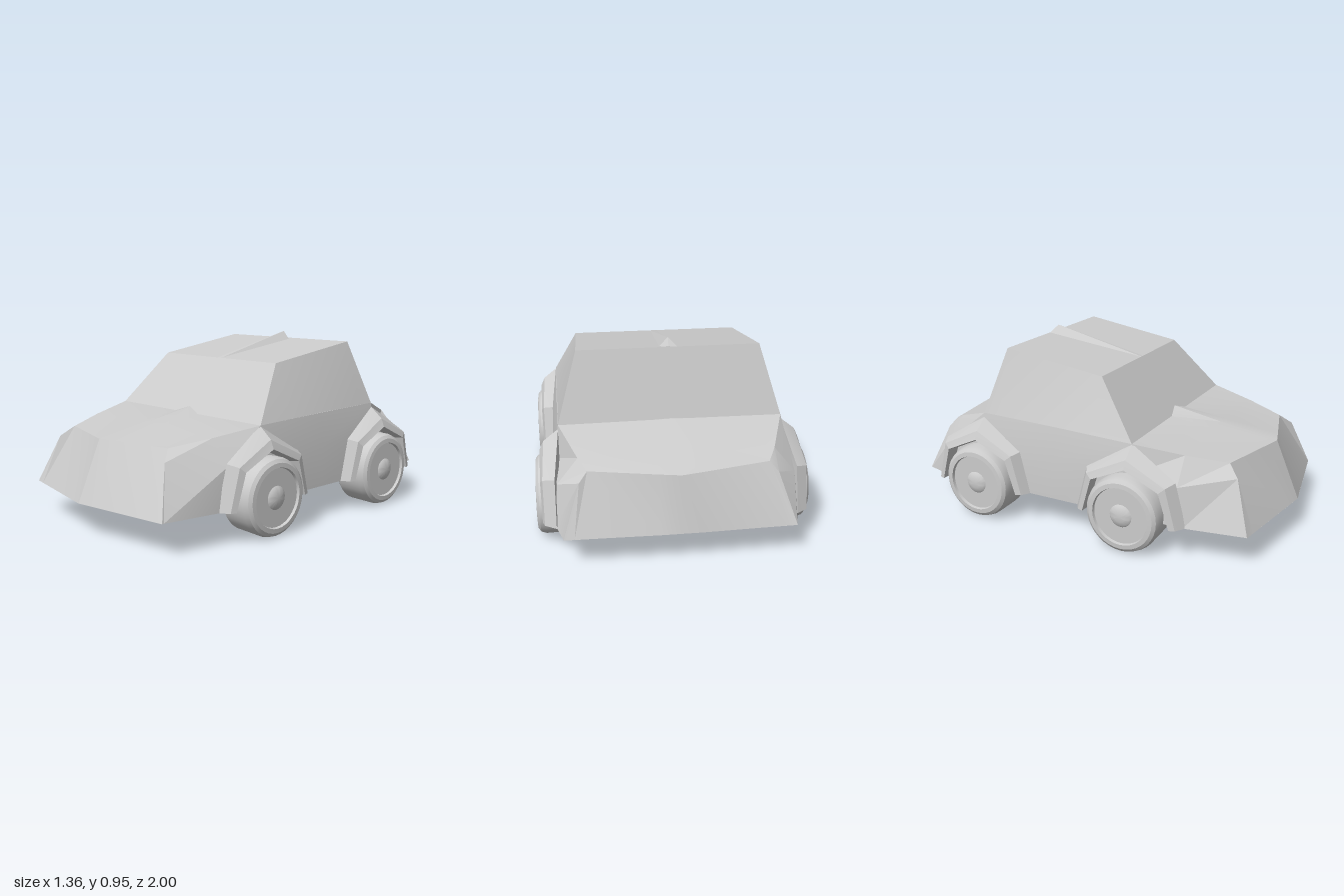
import * as THREE from 'three';
import { toCreasedNormals } from 'three/addons/utils/BufferGeometryUtils.js';

const material = new THREE.MeshStandardMaterial({ color: 0xcccccc, side: THREE.DoubleSide });

function addMesh(parent, name, geometry, crease = 0.4) {
  const mesh = new THREE.Mesh(toCreasedNormals(geometry, crease), material);
  mesh.name = name;
  parent.add(mesh);
  return mesh;
}

// Skin a list of closed cross-sections, each an equal-length ring of [x, y, z]
function loft(rows, capped = false) {
  const position = [];
  const tri = (...pts) => {
    const [a, b, c] = pts.map((p) => new THREE.Vector3(...p));
    if (b.clone().sub(a).cross(c.clone().sub(a)).length() > 1e-6) position.push(...pts.flat());
  };
  const n = rows[0].length;
  for (let i = 0; i < rows.length - 1; i++) {
    for (let j = 0; j < n; j++) {
      const k = (j + 1) % n;
      const a = rows[i][j], b = rows[i + 1][j], c = rows[i + 1][k], d = rows[i][k];
      tri(a, b, c);
      tri(a, c, d);
    }
  }
  if (capped) {
    const first = rows[0], last = rows[rows.length - 1];
    for (let j = 1; j < n - 1; j++) {
      tri(first[0], first[j], first[j + 1]);
      tri(last[0], last[j + 1], last[j]);
    }
  }
  const geometry = new THREE.BufferGeometry();
  geometry.setAttribute('position', new THREE.Float32BufferAttribute(position, 3));
  return geometry;
}

// Complete a half-section that starts and ends on the centre line
const mirrored = (half) => [
  ...half,
  ...half.slice(1, -1).reverse().map(([x, y, z]) => [-x, y, z]),
];

// Sections from nose to tail: floor centre, sill, side, shoulder, inner deck, deck centre
function lowerBody() {
  const y0 = 0.17;
  return loft([
    [[0, y0, 1], [0.54, y0, 0.91], [0.54, y0, 0.91], [0.48, y0, 0.92], [0.1, y0, 0.983], [0, y0, 1]],
    [[0, y0, 0.9], [0.54, y0, 0.9], [0.45, 0.42, 0.82], [0.4, 0.472, 0.76], [0.1, 0.474, 0.843], [0, 0.475, 0.87]],
    [[0, y0, 0.6], [0.59, y0, 0.6], [0.575, 0.37, 0.56], [0.485, 0.505, 0.56], [0.095, 0.512, 0.56], [0, 0.525, 0.56]],
    [[0, y0, 0.31], [0.59, y0, 0.31], [0.587, 0.39, 0.31], [0.56, 0.545, 0.31], [0.09, 0.545, 0.31], [0, 0.575, 0.29]],
    [[0, y0, -0.13], [0.59, y0, -0.13], [0.587, 0.39, -0.13], [0.56, 0.558, -0.13], [0.09, 0.56, -0.13], [0, 0.565, -0.13]],
    [[0, y0, -0.58], [0.59, y0, -0.58], [0.587, 0.39, -0.58], [0.555, 0.565, -0.58], [0.09, 0.568, -0.58], [0, 0.572, -0.585]],
    [[0, y0, -0.84], [0.585, y0, -0.86], [0.57, 0.37, -0.82], [0.47, 0.49, -0.8], [0.1, 0.49, -0.82], [0, 0.488, -0.82]],
    [[0, y0, -0.95], [0.55, y0, -0.985], [0.47, 0.41, -0.9], [0.43, 0.455, -0.87], [0.1, 0.448, -0.93], [0, 0.445, -0.945]],
    [[0, y0, -1], [0.55, y0, -0.99], [0.55, y0, -0.99], [0.5, y0, -0.99], [0.1, y0, -1], [0, y0, -1]],
  ].map(mirrored));
}

// Sections from windscreen foot to rear-window foot: base centre, belt, roof edge, roof centre
function cabin() {
  return loft([
    [[0, 0.545, 0.31], [0.56, 0.545, 0.31], [0.56, 0.545, 0.31], [0, 0.545, 0.31]],
    [[0, 0.55, 0.08], [0.56, 0.55, 0.08], [0.44, 0.825, 0.08], [0, 0.825, 0.08]],
    [[0, 0.56, -0.48], [0.555, 0.56, -0.48], [0.455, 0.91, -0.48], [0, 0.91, -0.48]],
    [[0, 0.565, -0.58], [0.555, 0.565, -0.58], [0.555, 0.565, -0.58], [0, 0.565, -0.58]],
  ].map(mirrored));
}

// Tapered ridge along the middle of the roof
function roofRidge() {
  return loft([
    [[-0.025, 0.824, 0.08], [0.025, 0.824, 0.08], [0, 0.826, 0.08]],
    [[-0.044, 0.904, -0.45], [0.044, 0.904, -0.45], [0, 0.95, -0.45]],
    [[-0.045, 0.908, -0.48], [0.045, 0.908, -0.48], [0, 0.912, -0.48]],
  ], true);
}

// Faceted wheel-arch flare, following a five-point arch over the wheel
function wheelArch(side, zc) {
  const section = (t) => { // t: -2 .. 2 along the arch, front to back
    const k = Math.abs(t), s = -Math.sign(t);
    const ring = [
      [[0.55, 0.42, 0], [0.56, 0.34, 0.18], [0.56, 0.17, 0.235]][k],
      [[0.65, 0.44, 0], [0.65, 0.355, 0.185], [0.645, 0.17, 0.24]][k],
      [[0.63, 0.485, 0], [0.638, 0.38, 0.215], [0.635, 0.17, 0.27]][k],
      [[0.555, 0.545, 0], [0.58, 0.395, 0.245], [0.58, 0.17, 0.305]][k],
    ].map(([x, y, dz]) => [side * x, y, zc + s * dz]);
    return side > 0 ? ring : ring.reverse();
  };
  return loft([-2, -1, 0, 1, 2].map(section), true);
}

// Wheel turned around its axle: tyre, stepped rim and domed hub
function wheel() {
  const profile = [
    [0, -0.1], [0.185, -0.1], [0.197, -0.085], [0.2, 0.06], [0.192, 0.085], [0.175, 0.098],
    [0.152, 0.1], [0.148, 0.086], [0.06, 0.086], [0.05, 0.094], [0.028, 0.101], [0, 0.103],
  ].map(([r, h]) => new THREE.Vector2(r, h));
  return new THREE.LatheGeometry(profile, 36);
}

export function createModel() {
  const car = new THREE.Group();
  car.name = 'car';
  addMesh(car, 'lowerBody', lowerBody(), 0.3);
  addMesh(car, 'cabin', cabin(), 0.3);
  addMesh(car, 'roofRidge', roofRidge(), 0.1);

  for (const [end, archZ, wheelZ] of [['front', 0.31, 0.3], ['rear', -0.58, -0.58]]) {
    for (const [sideName, side] of [['Left', 1], ['Right', -1]]) {
      addMesh(car, `${end}${sideName}Arch`, wheelArch(side, archZ), 0.2);
      const w = addMesh(car, `${end}${sideName}Wheel`, wheel(), 0.5);
      w.rotation.z = -side * Math.PI / 2;
      w.position.set(side * 0.575, 0.2, wheelZ);
    }
  }
  return car;
}
